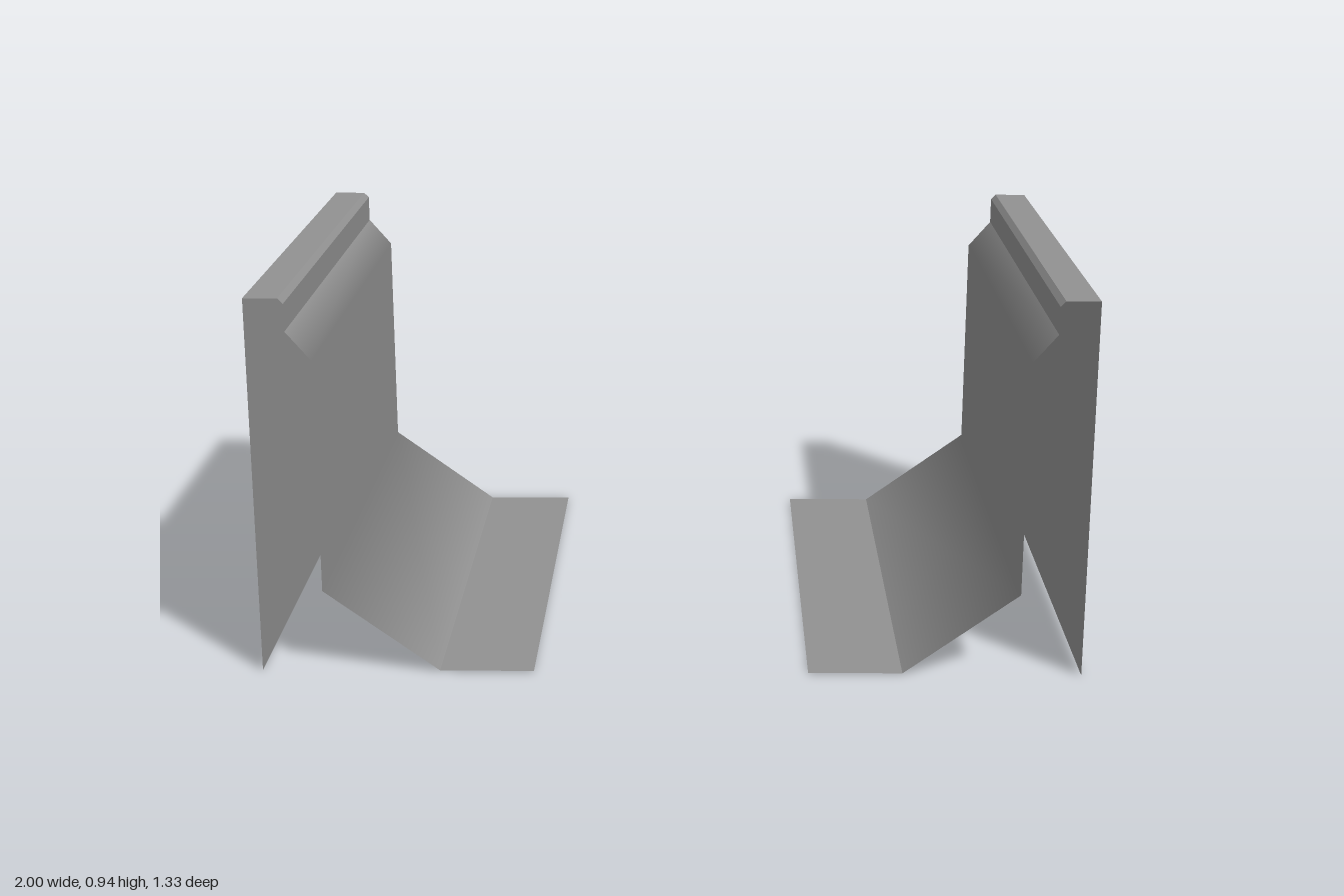
import * as THREE from 'three';

const HALF_LENGTH = 0.667;

// Extrudes an open run of [x, y] points along z. Segment normals are flat,
// except that both ends of segment `hub` lend their normal to its neighbours.
function sheet(points, hub = -1) {
  const pos = [], nor = [], index = [];
  const normalOf = (i) => {
    const [a, b] = [points[i], points[i + 1]];
    return new THREE.Vector3(b[1] - a[1], a[0] - b[0], 0).normalize();
  };
  for (let i = 0; i < points.length - 1; i++) {
    const own = normalOf(i);
    const start = i === hub + 1 && hub >= 0 ? normalOf(hub) : own;
    const end = i === hub - 1 ? normalOf(hub) : own;
    const base = pos.length / 3;
    for (const [p, z, n] of [
      [points[i], HALF_LENGTH, start], [points[i], -HALF_LENGTH, start],
      [points[i + 1], -HALF_LENGTH, end], [points[i + 1], HALF_LENGTH, end],
    ]) {
      pos.push(p[0], p[1], z);
      nor.push(n.x, n.y, n.z);
    }
    index.push(base, base + 1, base + 2, base, base + 2, base + 3);
  }
  const g = new THREE.BufferGeometry();
  g.setAttribute('position', new THREE.Float32BufferAttribute(pos, 3));
  g.setAttribute('normal', new THREE.Float32BufferAttribute(nor, 3));
  g.setIndex(index);
  return g;
}

export function createModel() {
  const concrete = new THREE.MeshStandardMaterial({ color: 0x929292, side: THREE.DoubleSide });
  concrete.name = 'concrete grey';

  const parts = {
    outerWall: sheet([[1, 0], [1, 0.935]]),
    // flat coping with a small chamfer and a vertical lip
    coping: sheet([[1, 0.935], [0.918, 0.935], [0.905, 0.922], [0.905, 0.855]]),
    // sloped ledge, inner wall and bank, softly shaded into each other
    innerWall: sheet([[0.905, 0.855], [0.845, 0.785], [0.845, 0.207], [0.565, 0.002]], 1),
    floorStrip: sheet([[0.565, 0.002], [0.335, 0.002]]),
  };

  const model = new THREE.Group();
  model.name = 'channelWalls';
  // the two sides are the same piece turned half a circle
  for (const [name, turn] of [['leftSide', 0], ['rightSide', Math.PI]]) {
    const side = new THREE.Group();
    side.name = name;
    side.rotation.y = turn;
    for (const [part, geometry] of Object.entries(parts)) {
      const mesh = new THREE.Mesh(geometry, concrete);
      mesh.name = part;
      side.add(mesh);
    }
    model.add(side);
  }
  return model;
}
